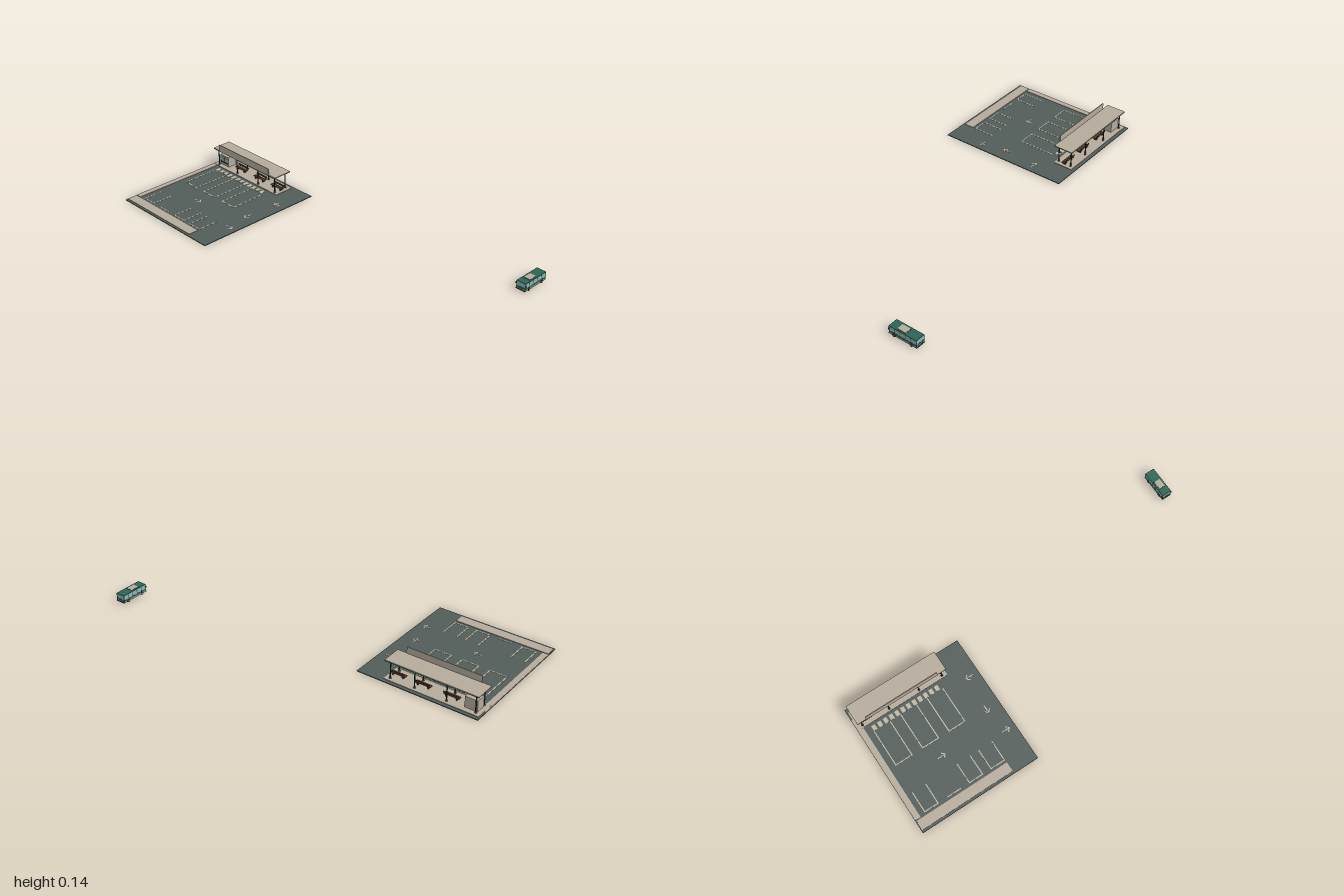
import * as THREE from 'three';

const mat = (name, color, side = THREE.FrontSide) => {
  const m = new THREE.MeshStandardMaterial({ color, side });
  m.name = name;
  return m;
};

export function createModel() {
  const asphalt = mat('asphalt', 0x525c58);
  const stone = mat('pale stone', 0xb5ab9b);
  const paint = mat('road paint', 0xbfb6a4);
  const wood = mat('wood', 0x6f4f33);
  const metal = mat('dark metal', 0x2b3634);
  const green = mat('bus green', 0x2c6454);
  const glass = mat('glass', 0x8fb4b6, THREE.DoubleSide);
  const rubber = mat('rubber', 0x222525);
  const grey = mat('warm grey', 0x99958a);

  const root = new THREE.Group();
  const group = (name, parent = root) => {
    const g = new THREE.Group();
    g.name = name;
    parent.add(g);
    return g;
  };
  // Box from its lower and upper limits on each axis
  const box = (parent, name, m, x0, x1, y0, y1, z0, z1) => {
    const b = new THREE.Mesh(new THREE.BoxGeometry(x1 - x0, y1 - y0, z1 - z0), m);
    b.name = name;
    b.position.set((x0 + x1) / 2, (y0 + y1) / 2, (z0 + z1) / 2);
    parent.add(b);
    return b;
  };
  const cyl = (parent, name, m, r0, r1, h, x, y, z, sides = 12) => {
    const c = new THREE.Mesh(new THREE.CylinderGeometry(r0, r1, h, sides), m);
    c.name = name;
    c.position.set(x, y, z);
    parent.add(c);
    return c;
  };

  // Ground and raised paving
  const lot = group('parkingLot');
  box(lot, 'asphaltSlab', asphalt, -1, -0.352, 0, 0.004, -0.254, 0.466);
  box(lot, 'shelterPlatform', stone, -0.992, -0.488, 0.004, 0.0065, -0.235, -0.128);
  box(lot, 'sidePavement', stone, -0.999, -0.969, 0.004, 0.006, -0.19, 0.396);
  box(lot, 'frontPavement', stone, -0.995, -0.488, 0.004, 0.0065, 0.402, 0.453);

  // Painted markings
  const marks = group('roadMarkings');
  const line = (name, x0, x1, z0, z1) => box(marks, name, paint, x0, x1, 0.004, 0.0048, z0, z1);
  for (let i = 0; i < 12; i++) {
    const x = -0.934 + i * 0.0324;
    line('crossingStripe', x, x + 0.02, -0.113, -0.085);
  }
  const bay = (x0, x1, z0, z1, sides = true) => {
    line('bayEnd', x0, x1, z1 - 0.005, z1);
    if (!sides) return;
    line('bayLine', x0, x0 + 0.005, z0, z1 - 0.005);
    line('bayLine', x1 - 0.005, x1, z0, z1 - 0.005);
  };
  for (const x of [-0.937, -0.787, -0.637]) bay(x, x + 0.095, -0.083, 0.12);
  bay(-0.942, -0.863, 0.275, 0.388);
  bay(-0.813, -0.738, 0.275, 0.388, false);
  bay(-0.692, -0.613, 0.275, 0.388);
  bay(-0.57, -0.489, 0.275, 0.388);

  // Direction arrows, turned about y
  const arrow = (x, z, turn) => {
    const a = group('directionArrow', marks);
    box(a, 'arrowShaft', paint, -0.022, 0.018, 0, 0.0008, -0.0025, 0.0025);
    for (const s of [-1, 1]) {
      const barb = box(a, 'arrowBarb', paint, -0.011, 0.011, 0, 0.0008, -0.0025, 0.0025);
      barb.position.set(0.013, 0.0004, s * 0.0075);
      barb.rotation.y = s * Math.PI / 4;
    }
    a.position.set(x, 0.004, z);
    a.rotation.y = turn;
  };
  arrow(-0.404, -0.06, Math.PI);
  arrow(-0.425, 0.125, -Math.PI / 2);
  arrow(-0.73, 0.203, 0);
  arrow(-0.404, 0.265, 0);

  // Waiting shelter: roof, ceiling, sign board and posts
  const shelter = group('shelter');
  box(shelter, 'roofTop', stone, -0.987, -0.49, 0.103, 0.1065, -0.232, -0.124);
  box(shelter, 'roofCeiling', wood, -0.985, -0.492, 0.1, 0.103, -0.23, -0.126);
  for (const z of [-0.232, -0.126]) {
    box(shelter, 'roofTrim', green, -0.987, -0.49, 0.0995, 0.103, z, z + 0.002);
  }
  box(shelter, 'signBoard', stone, -0.938, -0.54, 0.103, 0.141, -0.1265, -0.122);
  for (const z of [-0.141, -0.215]) {
    box(shelter, 'longBeam', metal, -0.98, -0.497, 0.096, 0.1, z - 0.002, z + 0.002);
  }
  for (const x of [-0.965, -0.815, -0.645, -0.513]) {
    box(shelter, 'crossBeam', metal, x - 0.003, x + 0.003, 0.097, 0.1, -0.23, -0.126);
    for (const z of [-0.141, -0.215]) {
      cyl(shelter, 'post', metal, 0.003, 0.003, 0.092, x, 0.052, z);
      cyl(shelter, 'postFoot', metal, 0.003, 0.006, 0.008, x, 0.0105, z);
    }
  }

  // Ticket booth
  const booth = group('ticketBooth');
  box(booth, 'boothBody', stone, -0.97, -0.903, 0.0065, 0.064, -0.207, -0.154);
  box(booth, 'boothWindow', glass, -0.962, -0.911, 0.028, 0.054, -0.154, -0.152);
  box(booth, 'boothCounter', metal, -0.966, -0.907, 0.024, 0.027, -0.154, -0.147);
  box(booth, 'boothMullion', metal, -0.938, -0.936, 0.027, 0.054, -0.152, -0.151);

  // Slatted benches
  for (const cx of [-0.823, -0.672, -0.536]) {
    const bench = group('bench');
    for (const z of [-0.172, -0.179, -0.186]) {
      box(bench, 'seatSlat', wood, cx - 0.041, cx + 0.041, 0.019, 0.022, z - 0.0028, z + 0.0028);
    }
    for (const y of [0.025, 0.031]) {
      box(bench, 'backSlat', wood, cx - 0.041, cx + 0.041, y, y + 0.004, -0.193, -0.191);
    }
    for (const s of [-1, 1]) {
      const x = cx + s * 0.028;
      box(bench, 'benchLeg', metal, x - 0.002, x + 0.002, 0.0065, 0.019, -0.188, -0.17);
      box(bench, 'backSupport', metal, x - 0.002, x + 0.002, 0.019, 0.034, -0.1945, -0.193);
    }
  }

  // Bus
  const bus = group('bus');
  const cx = 0.969, hw = 0.026, front = -0.314, back = -0.468;
  box(bus, 'skirt', grey, cx - hw, cx + hw, 0.009, 0.017, back, front);
  box(bus, 'lowerBody', green, cx - hw, cx + hw, 0.017, 0.026, back, front);
  box(bus, 'roof', green, cx - hw, cx + hw, 0.049, 0.052, back, front);
  box(bus, 'roofUnit', stone, cx - 0.017, cx + 0.017, 0.052, 0.054, -0.402, -0.356);
  box(bus, 'roofUnitBase', green, cx - 0.019, cx + 0.019, 0.052, 0.0532, -0.405, -0.353);
  box(bus, 'underframe', metal, cx - 0.02, cx + 0.02, 0.006, 0.009, -0.455, -0.325);
  for (const s of [-1, 1]) {
    const x = cx + s * (hw - 0.001);
    box(bus, 'sideGlass', glass, x - 0.0005, x + 0.0005, 0.026, 0.049, back + 0.001, front - 0.001);
    for (let i = 0; i < 6; i++) {
      const z = back + 0.0015 + i * (front - back - 0.003) / 5;
      box(bus, 'windowPillar', green, x - 0.001, x + 0.001, 0.026, 0.049, z - 0.0013, z + 0.0013);
    }
    box(bus, 'mirror', rubber, cx + s * 0.0285 - 0.0015, cx + s * 0.0285 + 0.0015, 0.034, 0.043, front - 0.003, front + 0.001);
    for (const z of [-0.343, -0.438]) {
      const wx = cx + s * 0.023;
      cyl(bus, 'tyre', rubber, 0.0085, 0.0085, 0.009, wx, 0.0125, z, 20).rotation.z = Math.PI / 2;
      cyl(bus, 'wheelHub', grey, 0.004, 0.004, 0.0098, wx, 0.0125, z, 16).rotation.z = Math.PI / 2;
    }
    box(bus, 'headlight', paint, cx + s * 0.019 - 0.004, cx + s * 0.019 + 0.004, 0.0175, 0.021, front, front + 0.0008);
  }
  box(bus, 'windscreen', glass, cx - hw + 0.001, cx + hw - 0.001, 0.026, 0.049, front - 0.002, front - 0.001);
  box(bus, 'rearGlass', glass, cx - hw + 0.001, cx + hw - 0.001, 0.026, 0.049, back + 0.001, back + 0.002);
  for (const z of [front, back - 0.002]) {
    box(bus, 'bumper', metal, cx - hw, cx + hw, 0.009, 0.013, z, z + 0.002);
  }
  return root;
}
